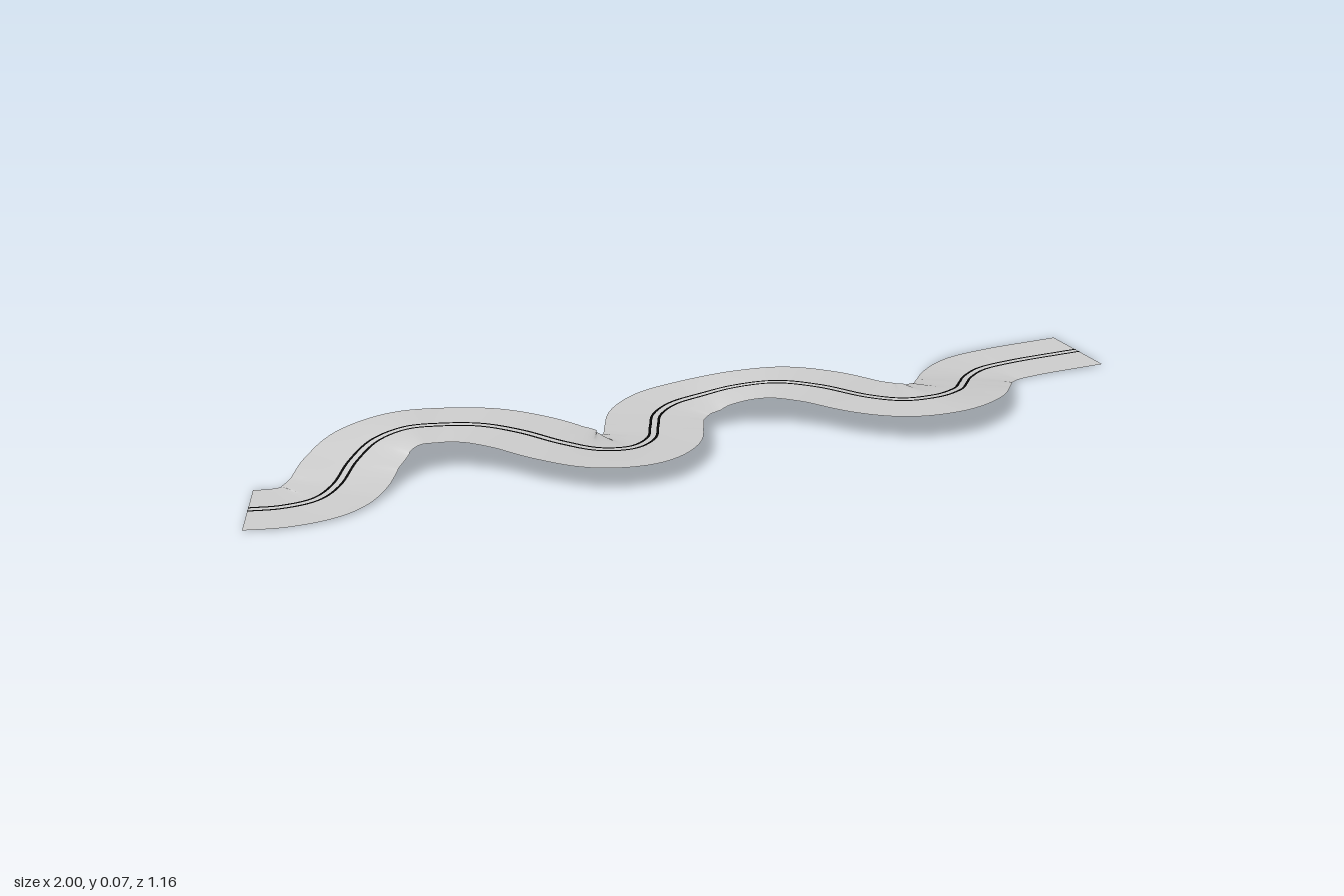
import * as THREE from 'three';

// Centre line of the road: x, height, z
const PATH = [
  [-1, 0.008, 0.465], [-0.93, 0.008, 0.455], [-0.86, 0.01, 0.42], [-0.82, 0.015, 0.35],
  [-0.79, 0.035, 0.26], [-0.745, 0.055, 0.185], [-0.68, 0.067, 0.145], [-0.6, 0.07, 0.135],
  [-0.51, 0.075, 0.155], [-0.42, 0.074, 0.2], [-0.33, 0.067, 0.255], [-0.25, 0.058, 0.277],
  [-0.175, 0.05, 0.25], [-0.13, 0.043, 0.175], [-0.12, 0.038, 0.085], [-0.11, 0.035, 0],
  [-0.07, 0.036, -0.07], [0, 0.042, -0.11], [0.07, 0.056, -0.12], [0.17, 0.072, -0.105],
  [0.27, 0.074, -0.065], [0.38, 0.066, -0.01], [0.46, 0.063, 0.008], [0.54, 0.06, -0.02],
  [0.6, 0.047, -0.1], [0.63, 0.028, -0.2], [0.655, 0.011, -0.29], [0.7, 0.006, -0.36],
  [0.78, 0.007, -0.405], [0.958, 0.009, -0.475],
];
const HALF_WIDTH = 0.113;
const STEPS = 240;

// Ribbon that follows the curve between two sideways offsets
function ribbon(curve, from, to, lift, columns) {
  const positions = [], indices = [];
  for (let i = 0; i <= STEPS; i++) {
    const p = curve.getPointAt(i / STEPS);
    const t = curve.getTangentAt(i / STEPS).setY(0).normalize();
    // level the first cross-section with the model's left edge
    if (i === 0) t.set(1, 0, 0);
    for (let j = 0; j <= columns; j++) {
      const d = from + (to - from) * j / columns;
      positions.push(p.x - t.z * d, p.y + lift, p.z + t.x * d);
    }
  }
  const row = columns + 1;
  for (let i = 0; i < STEPS; i++) {
    for (let j = 0; j < columns; j++) {
      const a = i * row + j, b = a + row;
      indices.push(a, a + 1, b, b, a + 1, b + 1);
    }
  }
  const geometry = new THREE.BufferGeometry();
  geometry.setAttribute('position', new THREE.Float32BufferAttribute(positions, 3));
  geometry.setIndex(indices);
  geometry.computeVertexNormals();
  return geometry;
}

export function createModel() {
  const group = new THREE.Group();
  group.name = 'windingRoad';

  const roadGrey = new THREE.MeshStandardMaterial({ color: 0xcccccc, side: THREE.DoubleSide });
  roadGrey.name = 'road grey';
  const lineBlack = new THREE.MeshStandardMaterial({ color: 0x050505, side: THREE.DoubleSide });
  lineBlack.name = 'line black';

  const curve = new THREE.CatmullRomCurve3(PATH.map((p) => new THREE.Vector3(...p)), false, 'centripetal');
  curve.arcLengthDivisions = 1000;

  // Road surface
  const road = new THREE.Mesh(ribbon(curve, -HALF_WIDTH, HALF_WIDTH, 0, 8), roadGrey);
  road.name = 'roadSurface';
  group.add(road);

  // Double centre line
  for (const side of [-1, 1]) {
    const middle = side * 0.009;
    const line = new THREE.Mesh(ribbon(curve, middle - 0.003, middle + 0.003, 0.0012, 1), lineBlack);
    line.name = side < 0 ? 'centreLineBack' : 'centreLineFront';
    group.add(line);
  }
  return group;
}
